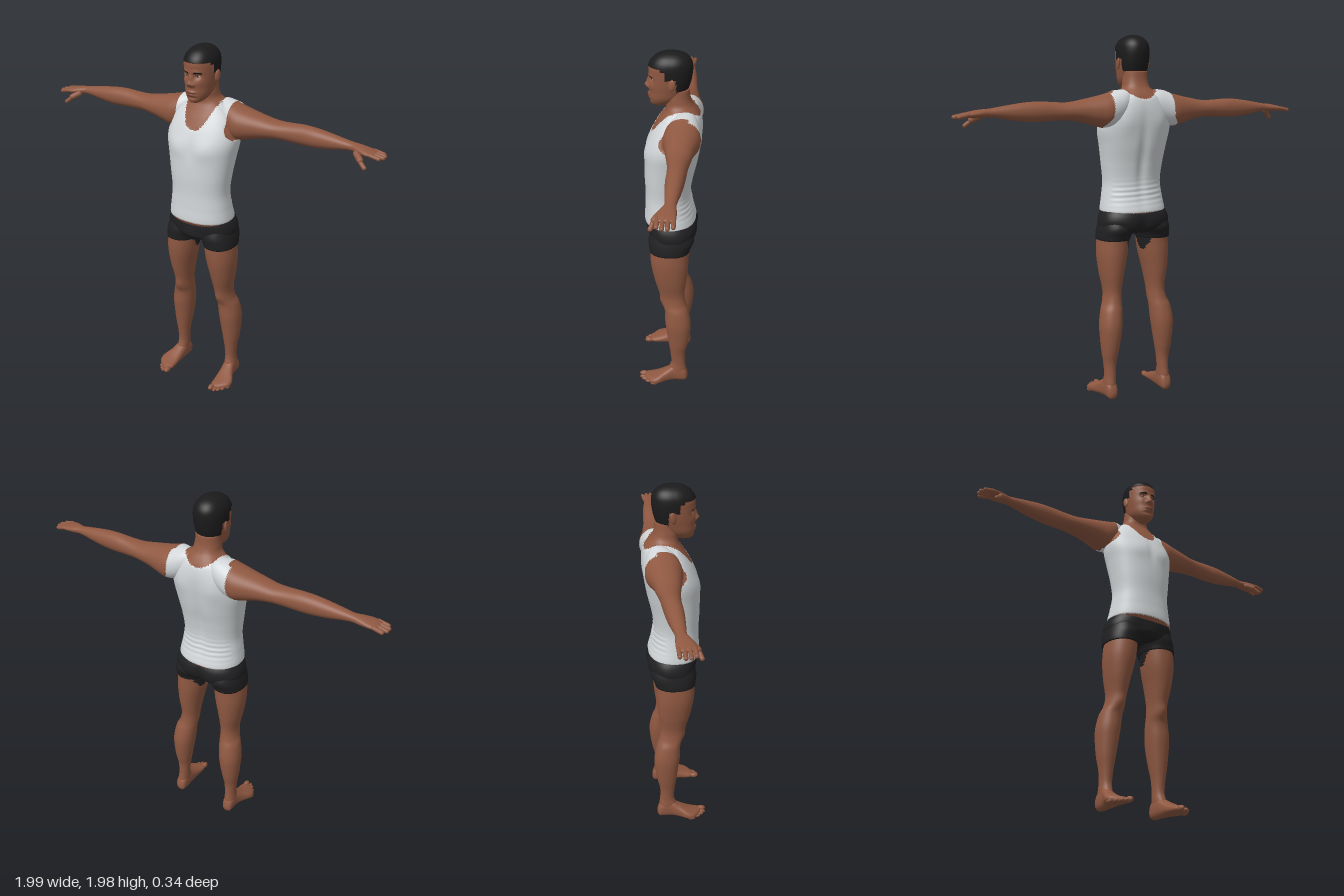
import * as THREE from 'three';

const mat = (name, color) => {
  const m = new THREE.MeshStandardMaterial({ color });
  m.name = name;
  return m;
};
const skin = mat('skin', 0x8f5841), shirt = mat('shirt white', 0xd2d6d8), black = mat('shorts black', 0x202022);
const hair = mat('hair black', 0x1b1b1c), lip = mat('lips', 0x7a4338), eyeWhite = mat('eye white', 0xb5aaa2);

// Smooth interpolation through rows of [s, aMin, aMax, bMin, bMax]
function sample(keys, s) {
  const n = keys.length;
  let i = 0;
  while (i < n - 2 && s > keys[i + 1][0]) i++;
  const slope = (k, c) => {
    const p = keys[Math.max(k - 1, 0)], q = keys[Math.min(k + 1, n - 1)];
    return (q[c] - p[c]) / (q[0] - p[0]);
  };
  const A = keys[i], B = keys[i + 1], h = B[0] - A[0], t = (s - A[0]) / h, u = 1 - t;
  return [1, 2, 3, 4].map(c => A[c] * (1 + 2 * t) * u * u + B[c] * t * t * (3 - 2 * t)
    + h * (slope(i, c) * t * u * u - slope(i + 1, c) * t * t * u));
}

// Tube of superellipse sections along an axis; shape() moves points, paint() picks a material index
const AXES = { y: ['y', 'x', 'z'], x: ['x', 'z', 'y'], z: ['z', 'y', 'x'] };
function loft(name, keys, o) {
  const { axis = 'y', rows = 60, segs = 40, n = 2, side = 1, mats = [skin], shape, paint } = o;
  const [S, A, B] = AXES[axis], pts = [], s0 = keys[0][0], s1 = keys[keys.length - 1][0];
  const pow = v => Math.sign(v) * Math.abs(v) ** (2 / n);
  for (let i = 0; i <= rows; i++) {
    const s = s0 + (s1 - s0) * i / rows, [a0, a1, b0, b1] = sample(keys, s);
    for (let j = 0; j < segs; j++) {
      const t = j / segs * Math.PI * 2, p = new THREE.Vector3();
      p[S] = s;
      p[A] = (a0 + a1) / 2 + (a1 - a0) / 2 * pow(Math.cos(t));
      p[B] = (b0 + b1) / 2 + (b1 - b0) / 2 * pow(Math.sin(t));
      if (shape) shape(p);
      p.x *= side;
      pts.push(p);
    }
  }
  const lists = mats.map(() => []);
  const tri = (a, b, c) => {
    const mid = new THREE.Vector3().add(pts[a]).add(pts[b]).add(pts[c]).divideScalar(3);
    lists[paint ? paint(mid) : 0].push(...(side > 0 ? [a, b, c] : [a, c, b]));
  };
  for (let i = 0; i < rows; i++) for (let j = 0; j < segs; j++) {
    const k = (j + 1) % segs, a = i * segs + j, b = i * segs + k;
    tri(a, a + segs, b + segs);
    tri(a, b + segs, b);
  }
  for (const row of [0, rows]) {
    const c = new THREE.Vector3();
    for (let j = 0; j < segs; j++) c.addScaledVector(pts[row * segs + j], 1 / segs);
    pts.push(c);
    for (let j = 0; j < segs; j++) {
      const a = row * segs + j, b = row * segs + (j + 1) % segs;
      row ? tri(pts.length - 1, b, a) : tri(pts.length - 1, a, b);
    }
  }
  const g = new THREE.BufferGeometry().setFromPoints(pts);
  g.setIndex(lists.flat());
  let start = 0;
  lists.forEach((l, m) => { g.addGroup(start, l.length, m); start += l.length; });
  g.computeVertexNormals();
  const mesh = new THREE.Mesh(g, mats.length > 1 ? mats : mats[0]);
  mesh.name = name;
  return mesh;
}

function ball(name, m, pos, scale) {
  const mesh = new THREE.Mesh(new THREE.SphereGeometry(1, 20, 14), m);
  mesh.position.set(...pos);
  mesh.scale.set(...scale);
  mesh.name = name;
  return mesh;
}

// Rounded digit between two points
function digit(name, from, to, r) {
  const p = new THREE.Vector3(...from), q = new THREE.Vector3(...to), d = q.clone().sub(p);
  const mesh = new THREE.Mesh(new THREE.CapsuleGeometry(r, d.length() - r, 6, 12), skin);
  mesh.position.copy(p).add(q).multiplyScalar(0.5);
  mesh.quaternion.setFromUnitVectors(new THREE.Vector3(0, 1, 0), d.normalize());
  mesh.name = name;
  return mesh;
}

const bump = (p, x, y, sx, sy, h) => h * Math.exp(-(((Math.abs(p.x) - x) / sx) ** 2) - ((p.y - y) / sy) ** 2);

// Tank top outline: hem, neckline and armholes
function isShirt(p) {
  const x = Math.abs(p.x), y = p.y;
  if (y < 1.04 || y > 1.72) return 0;
  const neck = p.z > -0.08 ? 1.552 + 0.14 * (x / 0.095) ** 2.6 : 1.645 + 0.045 * (x / 0.09) ** 2;
  if (x < 0.092 && y > neck) return 0;
  const edge = p.z < -0.1 ? 0.178 : 0.157;
  const arm = y > 1.58 ? edge : y < 1.465 ? 9 : edge + 0.05 * ((1.58 - y) / 0.08) ** 2;
  return x < arm ? 1 : 0;
}

function isHair(p) {
  const z = p.z, line = z > 0.05 ? 1.908 : z > 0.025 ? 1.895 : z > 0.008 ? 1.85 : z > -0.03 ? 1.855 : 1.79;
  return p.y > line;
}

function paintHead(p) {
  const x = Math.abs(p.x);
  if (isHair(p)) return 1;
  if (p.z < 0.05) return 0;
  if (x > 0.016 && x < 0.052 && Math.abs(p.y - 1.858 + (x - 0.034) ** 2 * 8) < 0.004) return 1;
  return x < 0.026 - Math.abs(p.y - 1.751) && Math.abs(p.y - 1.751) < 0.011 ? 2 : 0;
}

function shapeTorso(p) {
  if (p.z > 0.02) p.z += bump(p, 0.085, 1.45, 0.06, 0.05, 0.008) - bump(p, 0, 1.46, 0.02, 0.07, 0.005);
  if (p.z < -0.05) {
    p.z += bump(p, 0, 1.32, 0.025, 0.2, 0.013) - bump(p, 0.1, 1.53, 0.05, 0.07, 0.008);
    p.z += 0.0025 * Math.sin(p.y * 230 + p.x * 12) * Math.exp(-(((p.y - 1.14) / 0.05) ** 2));
  }
  if (isShirt(p)) { p.x *= 1.02; p.z += Math.sign(p.z) * 0.003; }
}

function shapeHead(p) {
  if (isHair(p)) { p.x *= 1.03; p.z += Math.sign(p.z) * 0.003; }
  if (p.z < 0.03) return;
  p.z += bump(p, 0, 1.802, 0.016, 0.014, 0.02) + bump(p, 0, 1.826, 0.010, 0.022, 0.012)
    + bump(p, 0.017, 1.797, 0.008, 0.009, 0.008) + bump(p, 0.03, 1.862, 0.025, 0.01, 0.005)
    - bump(p, 0.033, 1.84, 0.016, 0.013, 0.012) + bump(p, 0.045, 1.805, 0.018, 0.02, 0.005)
    + bump(p, 0, 1.757, 0.024, 0.007, 0.009) + bump(p, 0, 1.743, 0.022, 0.007, 0.008)
    - bump(p, 0, 1.75, 0.028, 0.0025, 0.004) - bump(p, 0, 1.728, 0.03, 0.007, 0.006);
}

export function createModel() {
  const g = new THREE.Group();
  g.name = 'standing man';

  // Torso, neck and tank top
  g.add(loft('torso', [
    [1.02, -0.17, 0.17, -0.13, 0.125], [1.04, -0.178, 0.178, -0.138, 0.137], [1.12, -0.167, 0.167, -0.117, 0.134],
    [1.2, -0.158, 0.158, -0.107, 0.132], [1.3, -0.168, 0.168, -0.12, 0.136], [1.4, -0.183, 0.183, -0.142, 0.134],
    [1.48, -0.197, 0.197, -0.154, 0.125], [1.54, -0.193, 0.193, -0.16, 0.104], [1.6, -0.172, 0.172, -0.16, 0.073],
    [1.65, -0.135, 0.135, -0.15, 0.042], [1.68, -0.1, 0.1, -0.132, 0.026], [1.705, -0.075, 0.075, -0.113, 0.025],
    [1.74, -0.067, 0.067, -0.1, 0.03], [1.79, -0.062, 0.062, -0.095, 0.03],
  ], { rows: 130, segs: 112, n: 2.25, mats: [skin, shirt], paint: isShirt, shape: shapeTorso }));

  // Head with hair
  g.add(loft('head', [
    [1.695, -0.018, 0.018, 0.03, 0.082], [1.702, -0.032, 0.032, 0.01, 0.098], [1.72, -0.05, 0.05, -0.02, 0.107],
    [1.745, -0.064, 0.064, -0.055, 0.11], [1.78, -0.072, 0.072, -0.082, 0.11], [1.82, -0.079, 0.079, -0.097, 0.109],
    [1.86, -0.082, 0.082, -0.105, 0.11], [1.9, -0.082, 0.082, -0.108, 0.112], [1.93, -0.076, 0.076, -0.102, 0.1],
    [1.955, -0.06, 0.06, -0.084, 0.077], [1.97, -0.04, 0.04, -0.06, 0.05], [1.977, -0.022, 0.022, -0.035, 0.025],
    [1.98, -0.004, 0.004, -0.008, 0.002],
  ], { rows: 100, segs: 112, n: 2.15, mats: [skin, hair, lip], paint: paintHead, shape: shapeHead }));

  // Hips of the shorts
  g.add(loft('shorts', [
    [0.925, -0.13, 0.13, -0.1, 0.08], [0.94, -0.185, 0.185, -0.128, 0.11], [0.98, -0.2, 0.2, -0.145, 0.121],
    [1.02, -0.193, 0.193, -0.144, 0.125], [1.06, -0.172, 0.172, -0.125, 0.12],
  ], { rows: 30, segs: 64, n: 2.4, mats: [black], shape: p => {
    p.z += p.z > 0 ? bump(p, 0, 0.965, 0.04, 0.035, 0.012)
      : bump(p, 0, 0.96, 0.018, 0.06, 0.015) - bump(p, 0.085, 0.97, 0.05, 0.05, 0.005);
  } }));

  for (const side of [1, -1]) {
    const w = side > 0 ? 'left ' : 'right ';

    // Face details and ears
    g.add(ball(w + 'eye', eyeWhite, [side * 0.033, 1.84, 0.083], [0.013, 0.006, 0.012]));
    g.add(ball(w + 'iris', hair, [side * 0.033, 1.84, 0.0915], [0.005, 0.005, 0.005]));
    const ear = ball(w + 'ear', skin, [side * 0.085, 1.83, -0.008], [0.008, 0.031, 0.017]);
    ear.rotation.set(-0.15, side * -0.35, 0);
    g.add(ear);

    // Shorts leg
    g.add(loft(w + 'shorts leg', [
      [0.888, 0.032, 0.209, -0.112, 0.108], [0.91, 0.025, 0.209, -0.118, 0.11],
      [0.95, 0.008, 0.203, -0.135, 0.114], [1.0, 0.01, 0.19, -0.12, 0.1],
    ], { rows: 16, n: 2.2, side, mats: [black] }));

    // Leg, with the shorts' inner thigh panel
    g.add(loft(w + 'leg', [
      [0.05, 0.142, 0.196, -0.1, 0], [0.08, 0.136, 0.2, -0.102, 0], [0.13, 0.135, 0.196, -0.096, -0.015],
      [0.2, 0.13, 0.2, -0.096, -0.01], [0.27, 0.118, 0.211, -0.111, 0], [0.35, 0.105, 0.218, -0.123, 0.011],
      [0.42, 0.096, 0.22, -0.125, 0.02], [0.5, 0.09, 0.207, -0.109, 0.024], [0.54, 0.088, 0.19, -0.095, 0.038],
      [0.6, 0.085, 0.182, -0.087, 0.052], [0.7, 0.068, 0.198, -0.098, 0.08], [0.8, 0.046, 0.208, -0.105, 0.1],
      [0.88, 0.036, 0.204, -0.105, 0.104], [0.95, 0.03, 0.195, -0.11, 0.1],
    ], { rows: 90, segs: 44, n: 2.1, side, mats: [skin, black],
      paint: p => (p.y > 0.82 && Math.abs(p.x) < 0.07 && Math.abs(p.z + 0.03) < (p.y - 0.8) * 0.8 ? 1 : 0),
      shape: p => {
        if (p.z > -0.02) p.z += 0.008 * Math.exp(-(((p.x - 0.135) / 0.025) ** 2) - ((p.y - 0.56) / 0.03) ** 2);
      } }));

    // Foot and toes
    g.add(loft(w + 'foot', [
      [-0.112, 0.02, 0.045, 0.155, 0.18], [-0.104, 0.004, 0.075, 0.142, 0.194], [-0.08, 0, 0.1, 0.136, 0.2],
      [-0.03, 0, 0.105, 0.135, 0.204], [0.01, 0, 0.082, 0.136, 0.218], [0.06, 0, 0.056, 0.137, 0.243],
      [0.095, 0, 0.042, 0.138, 0.24], [0.12, 0.003, 0.034, 0.14, 0.215], [0.14, 0.01, 0.026, 0.15, 0.185],
    ], { axis: 'z', rows: 40, segs: 32, n: 2.5, side }));
    for (let i = 0; i < 5; i++) {
      const r = i ? 0.0115 - i * 0.0005 : 0.016, x = side * (i ? 0.163 + i * 0.0175 : 0.156);
      const z = i ? 0.15 - i * i * 0.0042 : 0.147;
      g.add(ball(w + 'toe', skin, [x, r, z], [r, r, 0.026 - i * 0.001]));
    }

    // Shoulder, arm and palm; the shirt strap crosses the shoulder
    g.add(loft(w + 'arm', [
      [0.06, -0.13, -0.04, 1.57, 1.69], [0.1, -0.148, -0.015, 1.54, 1.692], [0.15, -0.158, 0.018, 1.505, 1.686],
      [0.2, -0.162, 0.028, 1.495, 1.672], [0.25, -0.152, 0.02, 1.507, 1.66], [0.32, -0.136, 0.008, 1.526, 1.646],
      [0.4, -0.125, -0.006, 1.54, 1.633], [0.47, -0.116, -0.015, 1.54, 1.634], [0.55, -0.112, -0.019, 1.537, 1.639],
      [0.62, -0.107, -0.018, 1.538, 1.636], [0.7, -0.099, -0.022, 1.547, 1.626], [0.78, -0.088, -0.028, 1.561, 1.613],
      [0.82, -0.084, -0.03, 1.565, 1.607], [0.86, -0.088, -0.014, 1.562, 1.604], [0.9, -0.09, 0, 1.562, 1.597],
      [0.93, -0.088, 0, 1.565, 1.59], [0.945, -0.08, -0.01, 1.572, 1.584],
    ], { axis: 'x', rows: 110, segs: 48, n: 2.1, side, mats: [skin, shirt], paint: isShirt,
      shape: p => { if (isShirt(p)) p.y += 0.003; } }));

    // Fingers and thumb
    [0.982, 0.996, 0.997, 0.984].forEach((tip, i) => {
      const z = -0.079 + i * 0.0235;
      g.add(digit(w + 'finger', [side * 0.92, 1.58, z], [side * (tip - 0.006), 1.568, z * 1.02], 0.0105));
    });
    g.add(digit(w + 'thumb base', [side * 0.85, 1.572, -0.025], [side * 0.893, 1.547, 0.012], 0.016));
    g.add(digit(w + 'thumb', [side * 0.885, 1.549, 0.009], [side * 0.922, 1.519, 0.024], 0.011));
  }
  return g;
}
